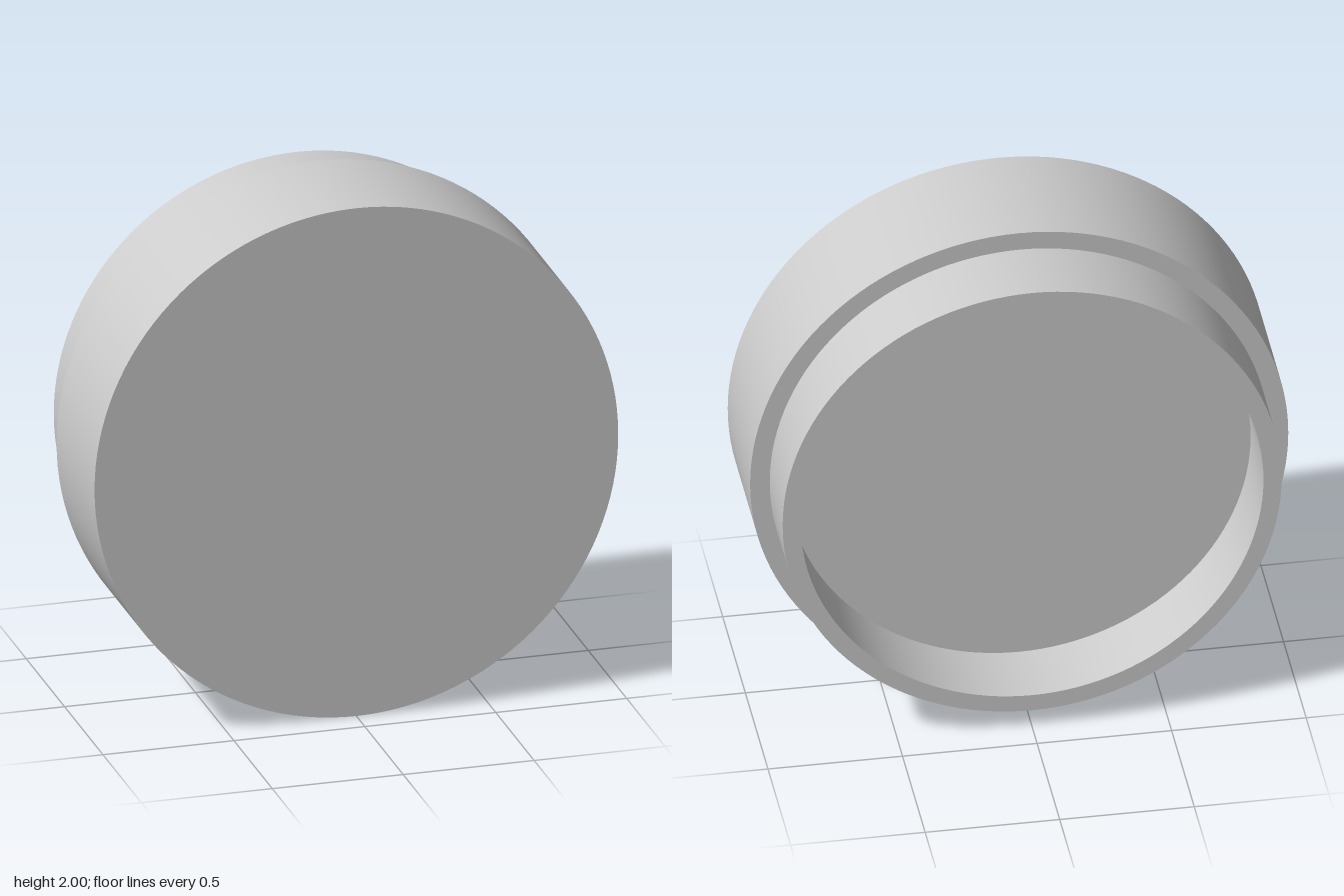
import * as THREE from 'three';
import { mergeGeometries } from 'three/addons/utils/BufferGeometryUtils.js';

const SEGMENTS = 128;

// Revolve a [radius, z] profile about the z axis, keeping each profile corner sharp
function revolve(profile) {
  const bands = profile.slice(1).map((end, i) =>
    new THREE.LatheGeometry(
      [profile[i], end].map(([r, z]) => new THREE.Vector2(r, -z)), SEGMENTS));
  return mergeGeometries(bands).rotateX(-Math.PI / 2);
}

export function createModel() {
  const group = new THREE.Group();
  group.name = 'steppedCap';
  const grey = new THREE.MeshStandardMaterial({ color: 0xcccccc });
  grey.name = 'light grey';

  const frontZ = 0.39, stepZ = -0.105, backZ = -0.39;
  const add = (name, geometry) => {
    const mesh = new THREE.Mesh(geometry, grey);
    mesh.name = name;
    mesh.position.y = 1;
    group.add(mesh);
  };

  // Solid front drum; its back face is also the floor of the recess
  add('drum', revolve([[0, frontZ], [1, frontZ], [1, stepZ], [0, stepZ]]));

  // Thin hollow collar standing on the back of the drum
  add('collar', revolve([[0.927, stepZ], [0.927, backZ], [0.86, backZ], [0.86, stepZ]]));

  return group;
}
